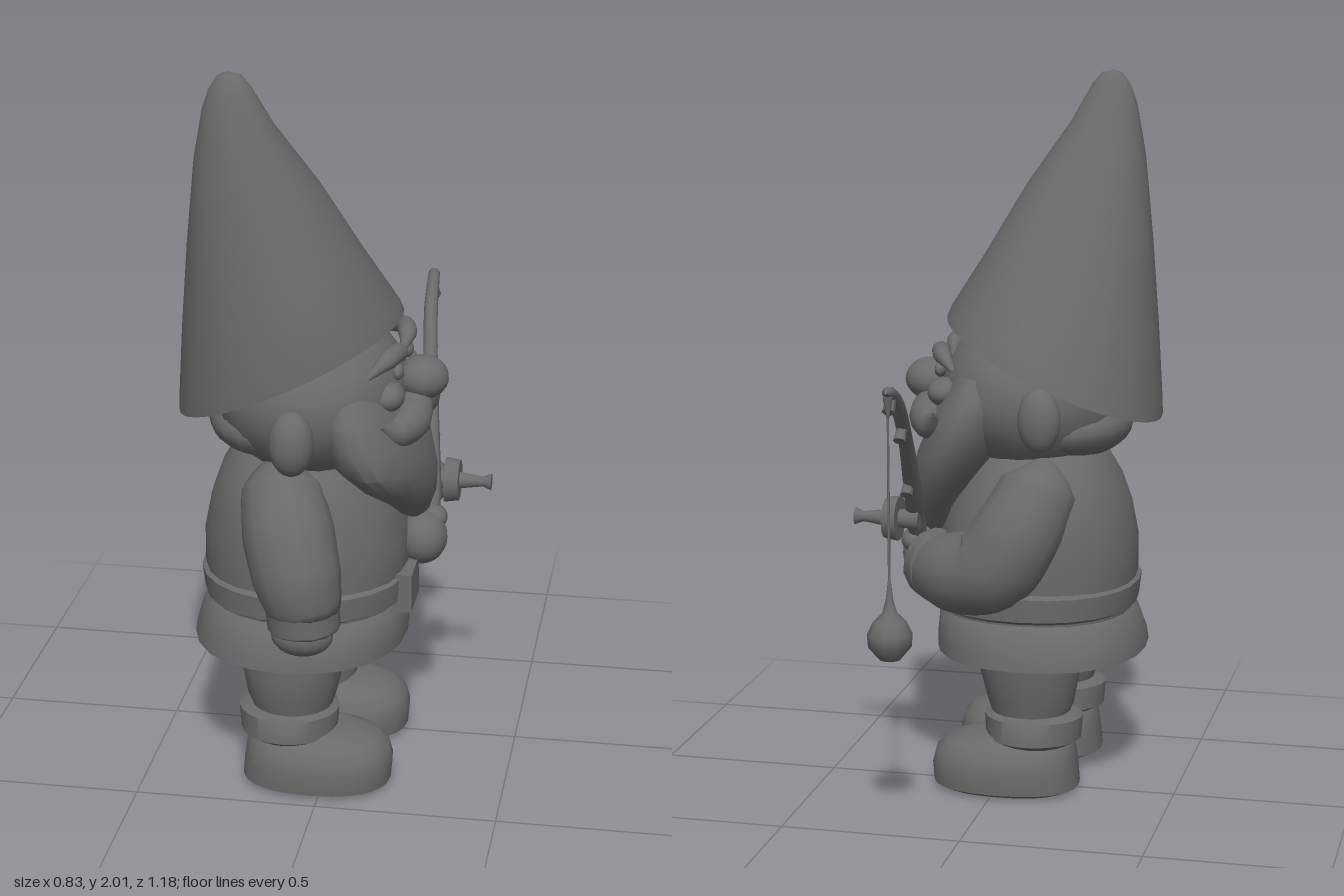
import * as THREE from 'three';
import { mergeVertices, toCreasedNormals } from 'three/addons/utils/BufferGeometryUtils.js';

// Closed skin over oval sections [y, x0, x1, z0, z1]; tilt slopes each section along x.
function loft(sections, { tilt = 0, n = 24, square = 1, crease = 0.9 } = {}) {
  const pos = [], idx = [];
  const bend = (v) => Math.sign(v) * Math.abs(v) ** square;
  for (const [y, x0, x1, z0, z1] of sections) {
    for (let i = 0; i < n; i++) {
      const a = (i / n) * Math.PI * 2;
      const dx = bend(Math.cos(a)) * (x1 - x0) / 2;
      pos.push((x0 + x1) / 2 + dx, y + tilt * dx, (z0 + z1) / 2 + bend(Math.sin(a)) * (z1 - z0) / 2);
    }
  }
  for (let j = 0; j < sections.length - 1; j++) {
    for (let i = 0; i < n; i++) {
      const k = (i + 1) % n, a = j * n, b = a + n;
      idx.push(a + i, b + i, a + k, a + k, b + i, b + k);
    }
  }
  const last = sections.length - 1;
  for (const j of [0, last]) {
    const [y, x0, x1, z0, z1] = sections[j];
    const c = pos.length / 3;
    pos.push((x0 + x1) / 2, y, (z0 + z1) / 2);
    for (let i = 0; i < n; i++) {
      const p = j * n + i, q = j * n + (i + 1) % n;
      if (j === 0) idx.push(c, p, q);
      else idx.push(c, q, p);
    }
  }
  const g = new THREE.BufferGeometry();
  g.setAttribute('position', new THREE.Float32BufferAttribute(pos, 3));
  g.setIndex(idx);
  return toCreasedNormals(g, crease);
}

// Tube through points [x, y, z, radius] whose thickness changes along its length.
function limb(points, seg = 24, n = 14) {
  const curve = new THREE.CatmullRomCurve3(points.map(([x, y, z]) => new THREE.Vector3(x, y, z)));
  const g = new THREE.TubeGeometry(curve, seg, 1, n);
  const p = g.attributes.position, v = new THREE.Vector3();
  for (let i = 0; i <= seg; i++) {
    const c = curve.getPointAt(i / seg);
    const t = curve.getUtoTmapping(i / seg) * (points.length - 1);
    const k = Math.min(Math.floor(t), points.length - 2);
    const r = THREE.MathUtils.lerp(points[k][3], points[k + 1][3], t - k);
    for (let j = 0; j <= n; j++) {
      const m = i * (n + 1) + j;
      v.fromBufferAttribute(p, m).sub(c).multiplyScalar(r).add(c);
      p.setXYZ(m, v.x, v.y, v.z);
    }
  }
  g.deleteAttribute('normal');
  g.deleteAttribute('uv');
  const merged = mergeVertices(g, 1e-5);
  merged.computeVertexNormals();
  return merged;
}

export function createModel() {
  const model = new THREE.Group();
  model.name = 'gardenGnome';
  const stone = new THREE.MeshStandardMaterial({ color: 0x6a6a6a });
  stone.name = 'dark grey';

  const add = (name, geometry, x = 0, y = 0, z = 0) => {
    const m = new THREE.Mesh(geometry, stone);
    m.name = name;
    m.position.set(x, y, z);
    model.add(m);
    return m;
  };
  const ball = (name, x, y, z, rx, ry, rz) => {
    const m = add(name, new THREE.SphereGeometry(1, 20, 14), x, y, z);
    m.scale.set(rx, ry, rz);
    return m;
  };

  // Legs and boots, one pair on each side of z = 0.15
  for (const [side, z] of [['right', 0.32], ['left', -0.02]]) {
    add(side + 'Boot', loft([
      [0, -0.2, 0.16, z - 0.12, z + 0.12], [0.015, -0.23, 0.185, z - 0.15, z + 0.15],
      [0.07, -0.225, 0.19, z - 0.155, z + 0.155], [0.11, -0.22, 0.18, z - 0.145, z + 0.145],
      [0.14, -0.215, 0.15, z - 0.12, z + 0.12], [0.155, -0.21, 0.1, z - 0.1, z + 0.1],
      [0.17, -0.2, 0.03, z - 0.09, z + 0.09],
    ], { square: 0.85 }));
    add(side + 'BootCuff', loft([
      [0.14, -0.21, 0.01, z - 0.11, z + 0.11], [0.155, -0.235, 0.035, z - 0.13, z + 0.13],
      [0.22, -0.24, 0.04, z - 0.125, z + 0.125], [0.232, -0.22, 0.02, z - 0.11, z + 0.11],
    ]));
    add(side + 'Trouser', loft([
      [0.2, -0.19, 0.01, z - 0.1, z + 0.1], [0.26, -0.215, 0.03, z - 0.115, z + 0.115],
      [0.34, -0.23, 0.05, z - 0.135, z + 0.13], [0.43, -0.24, 0.07, z - 0.14, z + 0.12],
    ]));
  }

  // Coat with a flared hem, and belt with buckle
  add('coatHem', loft([
    [0.38, -0.36, 0.18, -0.16, 0.44], [0.385, -0.39, 0.205, -0.19, 0.475],
    [0.42, -0.385, 0.205, -0.185, 0.47], [0.49, -0.36, 0.2, -0.16, 0.445],
    [0.515, -0.33, 0.17, -0.13, 0.41],
  ], { square: 0.9 }));
  add('coat', loft([
    [0.46, -0.34, 0.18, -0.14, 0.42], [0.6, -0.36, 0.205, -0.15, 0.43],
    [0.7, -0.36, 0.2, -0.15, 0.43], [0.8, -0.34, 0.17, -0.14, 0.42],
    [0.88, -0.31, 0.13, -0.11, 0.4], [0.95, -0.27, 0.09, -0.06, 0.35],
    [1.02, -0.21, 0.04, 0.02, 0.28],
  ], { square: 0.9 }));
  add('belt', loft([
    [0.51, -0.345, 0.19, -0.145, 0.425], [0.52, -0.362, 0.208, -0.16, 0.44],
    [0.585, -0.37, 0.214, -0.163, 0.443], [0.595, -0.35, 0.195, -0.15, 0.43],
  ], { square: 0.9 }));
  add('buckle', new THREE.BoxGeometry(0.05, 0.11, 0.15), 0.205, 0.545, 0.18);

  // Hanging right arm
  add('rightSleeve', limb([
    [-0.12, 0.95, 0.3, 0.03], [-0.11, 0.88, 0.36, 0.11], [-0.08, 0.78, 0.43, 0.125],
    [-0.05, 0.67, 0.47, 0.12], [-0.03, 0.58, 0.475, 0.1], [-0.03, 0.56, 0.475, 0.05],
  ]));
  add('rightCuff', limb([
    [-0.035, 0.61, 0.475, 0.08], [-0.035, 0.595, 0.475, 0.1],
    [-0.03, 0.53, 0.475, 0.098], [-0.03, 0.51, 0.475, 0.05],
  ]));
  ball('rightHand', -0.035, 0.51, 0.48, 0.085, 0.06, 0.065);

  // Left arm bent across the belly
  add('leftSleeve', limb([
    [-0.13, 0.95, -0.02, 0.03], [-0.12, 0.88, -0.06, 0.11], [-0.07, 0.76, -0.11, 0.125],
    [0, 0.66, -0.11, 0.13], [0.11, 0.63, -0.07, 0.115], [0.19, 0.63, 0, 0.095], [0.21, 0.63, 0.02, 0.04],
  ], 30));
  add('leftCuff', limb([
    [0.15, 0.63, -0.04, 0.07], [0.165, 0.63, -0.025, 0.105],
    [0.2, 0.635, 0.015, 0.1], [0.215, 0.635, 0.03, 0.05],
  ]));
  ball('leftHand', 0.235, 0.645, 0.08, 0.07, 0.075, 0.08);
  ball('leftThumb', 0.26, 0.69, 0.04, 0.04, 0.035, 0.05);

  // Head, ears and face
  ball('head', -0.06, 1.11, 0.17, 0.265, 0.23, 0.3);
  ball('hair', -0.16, 1.03, 0.17, 0.18, 0.1, 0.24);
  ball('rightEar', -0.06, 1.06, 0.49, 0.06, 0.09, 0.06);
  ball('leftEar', -0.14, 1.09, -0.15, 0.06, 0.09, 0.05);
  add('beard', loft([
    [1.18, -0.04, 0.15, -0.08, 0.4], [1.1, -0.05, 0.2, -0.14, 0.455],
    [1.02, -0.03, 0.235, -0.14, 0.475], [0.95, 0, 0.265, -0.125, 0.46],
    [0.87, 0.06, 0.28, -0.08, 0.37], [0.8, 0.12, 0.275, -0.03, 0.25],
    [0.74, 0.16, 0.255, 0.02, 0.16], [0.715, 0.19, 0.23, 0.06, 0.11],
  ].reverse()));
  ball('nose', 0.24, 1.14, 0.14, 0.07, 0.06, 0.075);
  for (const [side, s] of [['right', 1], ['left', -1]]) {
    add(side + 'Moustache', limb([
      [0.2, 1.08, 0.145, 0.02], [0.22, 1.075, 0.14 + s * 0.03, 0.05], [0.22, 1.05, 0.14 + s * 0.1, 0.055],
      [0.19, 1.045, 0.14 + s * 0.19, 0.04], [0.165, 1.085, 0.14 + s * 0.25, 0.006],
    ]));
    add(side + 'Brow', limb([
      [0.18, 1.2, 0.14 + s * 0.03, 0.006], [0.185, 1.235, 0.14 + s * 0.08, 0.026],
      [0.165, 1.235, 0.14 + s * 0.15, 0.026], [0.12, 1.2, 0.14 + s * 0.21, 0.006],
    ]));
    ball(side + 'Eye', 0.185, 1.185, 0.14 + s * 0.095, 0.016, 0.022, 0.03);
    ball(side + 'Cheek', 0.165, 1.13, 0.14 + s * 0.14, 0.045, 0.04, 0.06);
  }

  // Tall leaning hat
  add('hat', loft([
    [1.18, -0.4, 0.17, -0.12, 0.48], [1.185, -0.42, 0.19, -0.14, 0.5],
    [1.22, -0.418, 0.178, -0.128, 0.5], [1.4, -0.4, 0.085, -0.03, 0.475],
    [1.615, -0.375, -0.02, 0.085, 0.44], [1.82, -0.345, -0.135, 0.21, 0.4],
    [1.94, -0.318, -0.19, 0.27, 0.37], [1.98, -0.3, -0.215, 0.288, 0.355],
    [2, -0.28, -0.25, 0.31, 0.335],
  ], { tilt: 0.46, n: 32 }));

  // Fishing rod with guides, line and float
  add('rod', limb([
    [0.24, 0.6, 0.1, 0.015], [0.25, 0.73, 0.02, 0.028], [0.235, 0.84, -0.07, 0.028], [0.21, 1.03, -0.24, 0.021],
    [0.19, 1.16, -0.39, 0.02], [0.185, 1.21, -0.47, 0.018], [0.18, 1.228, -0.54, 0.016], [0.18, 1.228, -0.55, 0.002],
  ], 32, 10));
  for (const [x, y, z] of [[0.235, 0.88, -0.135], [0.2, 1.075, -0.33], [0.187, 1.185, -0.485]]) {
    const guide = add('rodGuide', new THREE.CylinderGeometry(0.014, 0.018, 0.045, 8), x, y, z);
    guide.rotation.x = 0.7;
  }
  add('lineTie', new THREE.CylinderGeometry(0.014, 0.003, 0.06, 8), 0.18, 1.185, -0.53);
  add('fishingLine', new THREE.CylinderGeometry(0.003, 0.004, 0.56, 6), 0.18, 0.93, -0.53);
  add('float', new THREE.LatheGeometry([
    [0, 0.5], [0.03, 0.507], [0.058, 0.54], [0.061, 0.575], [0.045, 0.61],
    [0.02, 0.635], [0.01, 0.67], [0.003, 0.73],
  ].map(([r, y]) => new THREE.Vector2(r, y)), 10), 0.18, 0, -0.53);

  // Reel with crank handle pointing forward
  const reel = (name, rBack, rFront, length, x) => {
    add(name, new THREE.CylinderGeometry(rFront, rBack, length, 14), x, 0.77, -0.045).rotation.z = -Math.PI / 2;
  };
  reel('reelMount', 0.03, 0.025, 0.07, 0.26);
  reel('reelDisc', 0.064, 0.058, 0.04, 0.303);
  reel('reelAxle', 0.024, 0.014, 0.07, 0.355);
  reel('reelKnob', 0.014, 0.024, 0.025, 0.4);

  return model;
}
